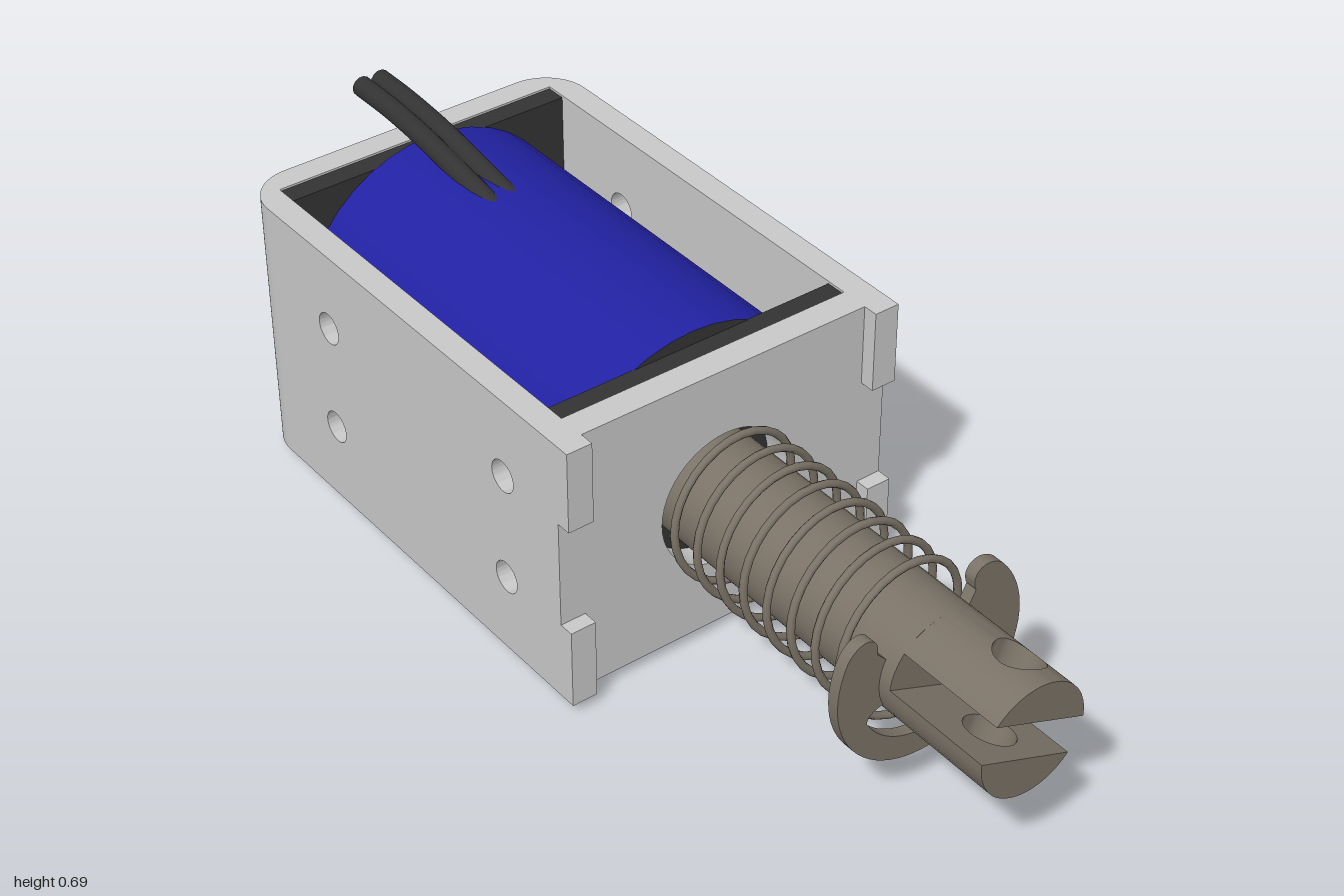
import * as THREE from 'three';
import { toCreasedNormals } from 'three/addons/utils/BufferGeometryUtils.js';

const AXIS_Y = 0.318;            // height of the plunger and coil axis
const ROD_R = 0.117;

const mat = (name, color, side = THREE.FrontSide) => {
  const m = new THREE.MeshStandardMaterial({ color, side });
  m.name = name;
  return m;
};

const polygon = pts => new THREE.Shape(pts.map(p => new THREE.Vector2(...p)));
const rect = (x0, y0, x1, y1) => polygon([[x0, y0], [x1, y0], [x1, y1], [x0, y1]]);
const punch = (shape, x, y, r) => shape.holes.push(new THREE.Path().absarc(x, y, r, 0, Math.PI * 2, true));
const extrude = (shape, depth, curveSegments = 24) => toCreasedNormals(
  new THREE.ExtrudeGeometry(shape, { depth, bevelEnabled: false, curveSegments }), 0.5);

// Half of the forked rod end: a circle segment above v = h, drilled across by a pin hole
function jawGeometry(h, z0, z1, holeZ, holeR) {
  const a = Math.sqrt(ROD_R ** 2 - h ** 2);
  const us = [];
  for (let i = -8; i <= 8; i++) us.push(holeR * Math.sin(i * Math.PI / 16));
  for (const f of [0.25, 0.5, 0.75, 0.9, 1]) {
    const u = holeR + (a - holeR) * f;
    us.push(u);
    us.unshift(-u);
  }
  const top = u => Math.max(h, Math.sqrt(Math.max(0, ROD_R ** 2 - u * u)));
  const half = u => Math.sqrt(Math.max(0, holeR ** 2 - u * u));
  const pos = [];
  const quad = (p, q, r, s) => pos.push(...p, ...q, ...r, ...p, ...r, ...s);
  const strip = (u0, u1, lo, hi) => {
    const t0 = top(u0), t1 = top(u1);
    const [a0, a1, b0, b1] = [lo(u0), lo(u1), hi(u0), hi(u1)];
    quad([u0, t0, a0], [u0, t0, b0], [u1, t1, b1], [u1, t1, a1]);
    quad([u0, h, a0], [u1, h, a1], [u1, h, b1], [u0, h, b0]);
    quad([u0, h, b0], [u1, h, b1], [u1, t1, b1], [u0, t0, b0]);
    quad([u0, h, a0], [u0, t0, a0], [u1, t1, a1], [u1, h, a1]);
  };
  for (let i = 0; i < us.length - 1; i++) {
    strip(us[i], us[i + 1], () => z0, u => holeZ - half(u));
    strip(us[i], us[i + 1], u => holeZ + half(u), () => z1);
  }
  const g = new THREE.BufferGeometry();
  g.setAttribute('position', new THREE.Float32BufferAttribute(pos, 3));
  return toCreasedNormals(g, 0.5);
}

// Retaining clip: open ring with two rounded arms and a centre prong
function clipShape() {
  const rad = d => d * Math.PI / 180;
  const polar = (r, d) => [r * Math.cos(rad(d)), r * Math.sin(rad(d))];
  const s = new THREE.Shape();
  const arc = (r, d0, d1, cw = false) => s.absarc(0, 0, r, rad(d0), rad(d1), cw);
  arc(0.21, 33, -213, true);
  s.bezierCurveTo(...polar(0.21, 133), ...polar(0.165, 127), ...polar(0.145, 141));
  arc(0.116, 145, 197);
  s.quadraticCurveTo(...polar(0.155, 194), ...polar(0.16, 201));
  arc(0.16, 201, 260);
  arc(0.116, 261, 279);
  arc(0.16, 280, 339);
  s.quadraticCurveTo(...polar(0.155, 346), ...polar(0.116, 343));
  arc(0.116, 343, 395);
  s.lineTo(...polar(0.145, 39));
  s.bezierCurveTo(...polar(0.165, 53), ...polar(0.21, 47), ...polar(0.21, 33));
  return s;
}

export function createModel() {
  const grey = mat('frame grey', 0xc8c8c8, THREE.DoubleSide);
  const blue = mat('coil blue', 0x2222a4);
  const black = mat('bobbin black', 0x333333);
  const steel = mat('plunger steel', 0x7b7367, THREE.DoubleSide);

  const model = new THREE.Group();
  model.name = 'solenoid';
  const group = name => {
    const g = new THREE.Group();
    g.name = name;
    model.add(g);
    return g;
  };
  const add = (parent, name, geo, material, x = 0, y = 0, z = 0) => {
    const m = new THREE.Mesh(geo, material);
    m.name = name;
    m.position.set(x, y, z);
    parent.add(m);
    return m;
  };

  // Frame: side walls with front tabs and screw holes, rounded rear corners
  const frame = group('frame');
  const bottom = 0.025, top = 0.61, height = top - bottom;
  const side = polygon([[-0.8, bottom], [0.192, bottom], [0.192, 0.2], [0.16, 0.2],
    [0.16, 0.435], [0.192, 0.435], [0.192, top], [-0.8, top]]);
  for (const z of [-0.013, -0.6]) for (const y of [0.2, 0.437]) punch(side, z, y, 0.034);
  const sideGeo = extrude(side, 0.055).rotateY(-Math.PI / 2);
  add(frame, 'leftWall', sideGeo, grey, 0.38);
  add(frame, 'rightWall', sideGeo, grey, -0.325);

  for (const s of [1, -1]) {
    const corner = new THREE.Shape();
    corner.moveTo(s * 0.28, -0.845);
    corner.lineTo(s * 0.28, -0.9);
    corner.absarc(s * 0.28, -0.8, 0.1, -Math.PI / 2, s > 0 ? 0 : -Math.PI, s < 0);
    corner.lineTo(s * 0.325, -0.8);
    corner.lineTo(s * 0.325, -0.845);
    add(frame, s > 0 ? 'leftCorner' : 'rightCorner',
      extrude(corner, height).rotateX(Math.PI / 2), grey, 0, top);
  }

  const back = rect(-0.28, bottom, 0.28, top);
  punch(back, 0, AXIS_Y, 0.062);
  add(frame, 'backWall', extrude(back, 0.055), grey, 0, 0, -0.9);
  const front = rect(-0.325, bottom, 0.325, top);
  punch(front, 0, AXIS_Y, 0.148);
  add(frame, 'frontPlate', extrude(front, 0.06), grey, 0, 0, 0.1);

  // Countersunk blind hole in the back wall
  const sink = [[0.062, 0], [0.046, 0.014], [0.046, 0.05], [0, 0.05]].map(p => new THREE.Vector2(...p));
  add(frame, 'backBore', toCreasedNormals(new THREE.LatheGeometry(sink, 28).rotateX(Math.PI / 2).toNonIndexed(), 0.5),
    grey, 0, AXIS_Y, -0.9);

  // Coil with black ends, between two square bobbin flanges
  const coil = group('coil');
  add(coil, 'winding', new THREE.CylinderGeometry(0.317, 0.317, 0.857, 40).rotateX(Math.PI / 2),
    [blue, black, black], 0, AXIS_Y, -0.3715);
  for (const z of [0.0775, -0.8225])
    add(coil, 'flange', new THREE.BoxGeometry(0.649, 0.575, 0.045), black, 0, AXIS_Y, z);

  // Two lead wires rising out of the winding
  const wires = group('wires');
  for (const x of [-0.03, 0.014]) {
    const path = new THREE.CatmullRomCurve3([[0.606, -0.5], [0.632, -0.64], [0.655, -0.78], [0.665, -0.9], [0.666, -1]]
      .map(([y, z]) => new THREE.Vector3(x, y, z)));
    add(wires, 'wire', new THREE.TubeGeometry(path, 20, 0.022, 14), black);
    add(wires, 'wireEnd', new THREE.CircleGeometry(0.022, 14).rotateY(Math.PI), black, x, 0.666, -0.9995);
  }

  // Plunger rod with a slotted, cross-drilled end
  const plunger = group('plunger');
  plunger.position.y = AXIS_Y;
  plunger.rotation.z = -Math.PI / 8;
  add(plunger, 'rod', new THREE.CylinderGeometry(ROD_R, ROD_R, 0.665, 40).rotateX(Math.PI / 2), steel, 0, 0, 0.4325);
  const jaw = jawGeometry(0.037, 0.765, 1, 0.91, 0.05);
  add(plunger, 'upperJaw', jaw, steel);
  add(plunger, 'lowerJaw', jaw, steel).rotation.z = Math.PI;

  // Return spring
  const turns = 7.9, coilPts = [];
  for (let i = 0; i <= turns * 20; i++) {
    const a = i / 20 * Math.PI * 2;
    coilPts.push(new THREE.Vector3(0.151 * Math.cos(a), 0.151 * Math.sin(a), 0.168 + 0.53 * i / (turns * 20)));
  }
  add(model, 'spring', new THREE.TubeGeometry(new THREE.CatmullRomCurve3(coilPts), 240, 0.008, 8), steel, 0, AXIS_Y, 0);

  // Retaining clip
  add(model, 'retainingClip', extrude(clipShape(), 0.025), steel, 0, AXIS_Y, 0.712).rotation.z = 0.14;

  return model;
}
